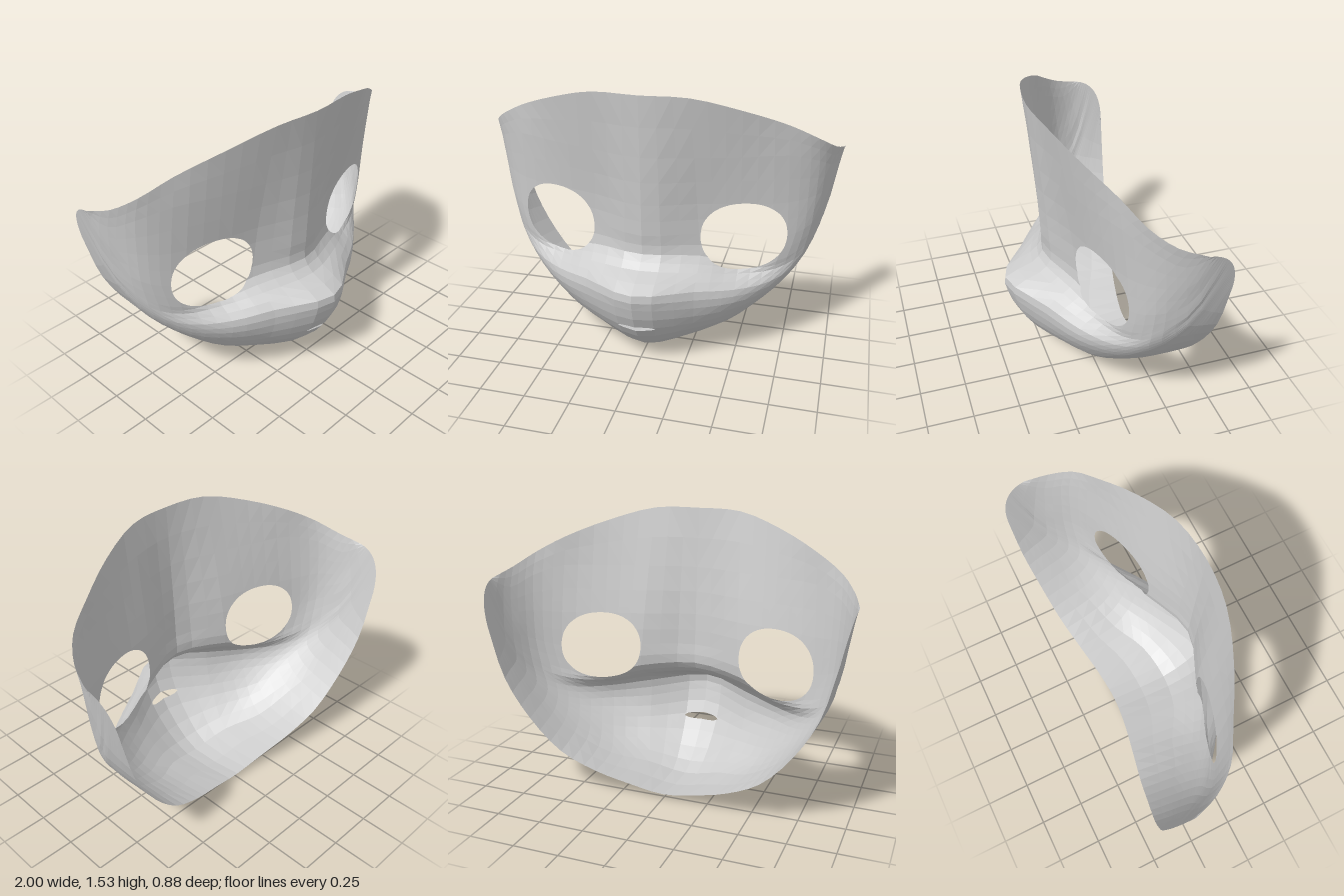
import * as THREE from 'three';

// Sections from the centre line out to one side; points run from top to bottom
const BROW = [
  [[0, 1.53, .28], [0, 1.2, .255], [0, .93, .235], [0, .75, .225], [0, .64, .22]],
  [[.25, 1.525, .25], [.27, 1.2, .19], [.28, .93, .14], [.29, .75, .12], [.3, .62, .12]],
  [[.5, 1.455, .16], [.5, 1.2, .12], [.5, .93, .08], [.5, .73, .06], [.5, .57, .05]],
  [[.72, 1.365, .045], [.73, 1.2, .03], [.74, .93, 0], [.74, .73, -.01], [.7, .58, 0]],
  [[.87, 1.28, -.04], [.88, 1.15, -.07], [.875, .95, -.09], [.865, .78, -.1], [.84, .65, -.1]],
  [[.955, 1.21, -.15], [.955, 1.1, -.19], [.945, .97, -.21], [.93, .86, -.23], [.92, .78, -.24]],
];
const MUZZLE = [
  [[0, .57, .28], [0, .5, .438], [0, .41, .43], [0, .27, .375], [0, .1, .235], [0, .003, .07], [0, .03, -.28]],
  [[.3, .55, .19], [.3, .48, .275], [.3, .38, .275], [.29, .26, .23], [.26, .15, .15], [.22, .06, .03], [.2, .07, -.3]],
  [[.5, .52, .085], [.5, .46, .16], [.5, .38, .16], [.48, .28, .11], [.45, .19, .04], [.41, .13, -.08], [.38, .13, -.335]],
  [[.69, .53, 0], [.68, .47, .03], [.66, .4, .02], [.64, .34, -.02], [.62, .3, -.07], [.6, .26, -.16], [.57, .235, -.375]],
  [[.83, .6, -.1], [.81, .54, -.1], [.79, .49, -.12], [.78, .47, -.15], [.77, .45, -.2], [.76, .44, -.27], [.74, .42, -.405]],
  [[.91, .75, -.245], [.905, .72, -.25], [.9, .7, -.26], [.895, .69, -.28], [.89, .68, -.31], [.885, .67, -.35], [.87, .645, -.43]],
];

// Openings: centre, radii and roundness exponent, measured from the front
const HOLES = [
  { x: .522, y: .735, rx: .224, ry: .196, n: 2.2 },
  { x: -.522, y: .735, rx: .224, ry: .196, n: 2.2 },
  { x: 0, y: .257, rx: .106, ry: .018, n: 2 },
];
const holeValue = (h, p) =>
  (Math.abs((p.x - h.x) / h.rx) ** h.n + Math.abs((p.y - h.y) / h.ry) ** h.n) ** (1 / h.n) - 1;

// Smooth grid of points through the mirrored sections
function surfaceGrid(rowSteps, colSteps) {
  const sections = BROW.map((b, i) => [...b, ...MUZZLE[i]].map(p => new THREE.Vector3(...p)));
  const sideEdge = new THREE.QuadraticBezierCurve3(
    new THREE.Vector3(1, 1.17, -.28), new THREE.Vector3(.995, 1.15, -.44), new THREE.Vector3(.95, .93, -.44));
  sections.push(sideEdge.getPoints(sections[0].length - 1));
  const curves = sections.map(s => new THREE.CatmullRomCurve3(s));
  const rows = (sections[0].length - 1) * rowSteps;
  const cols = (sections.length - 1) * 2 * colSteps;
  const grid = [];
  for (let j = 0; j <= rows; j++) {
    const half = curves.map(c => c.getPoint(j / rows));
    const mirrored = half.slice(1).reverse().map(p => new THREE.Vector3(-p.x, p.y, p.z));
    grid.push(new THREE.CatmullRomCurve3([...mirrored, ...half]).getPoints(cols));
  }
  return grid;
}

// Keep the part of a polygon that lies outside a hole
function cutHole(poly, hole) {
  const out = [];
  poly.forEach((p, i) => {
    const q = poly[(i + 1) % poly.length];
    const a = holeValue(hole, p), b = holeValue(hole, q);
    if (a >= 0) out.push(p);
    if ((a < 0) !== (b < 0)) out.push(p.clone().lerp(q, a / (a - b)));
  });
  return out;
}

function maskGeometry() {
  const positions = [];
  const fan = poly => {
    for (let i = 1; i + 1 < poly.length; i++)
      for (const p of [poly[0], poly[i], poly[i + 1]]) positions.push(p.x, p.y, p.z);
  };
  // Triangles beside an opening are split finely, then trimmed to its outline
  const addTriangle = (a, b, c, hole, depth) => {
    if (!hole) return fan([a, b, c]);
    if (depth === 0) return fan(cutHole([a, b, c], hole));
    const ab = a.clone().lerp(b, .5), bc = b.clone().lerp(c, .5), ca = c.clone().lerp(a, .5);
    for (const t of [[a, ab, ca], [ab, b, bc], [ca, bc, c], [ab, bc, ca]])
      addTriangle(...t, hole, depth - 1);
  };
  const nearHole = tri => HOLES.find(h => {
    const xs = tri.map(p => p.x), ys = tri.map(p => p.y);
    return Math.min(...xs) < h.x + h.rx && Math.max(...xs) > h.x - h.rx &&
      Math.min(...ys) < h.y + h.ry && Math.max(...ys) > h.y - h.ry;
  });
  const grid = surfaceGrid(2, 3);
  for (let j = 0; j + 1 < grid.length; j++)
    for (let i = 0; i + 1 < grid[j].length; i++) {
      const a = grid[j][i], b = grid[j + 1][i], c = grid[j + 1][i + 1], d = grid[j][i + 1];
      // Diagonals mirror about the centre line
      const tris = i < (grid[j].length - 1) / 2 ? [[a, b, c], [a, c, d]] : [[a, b, d], [b, c, d]];
      for (const t of tris) {
        const hole = nearHole(t);
        addTriangle(...t, hole, hole && hole.rx < .2 ? 3 : 2);
      }
    }
  const geometry = new THREE.BufferGeometry();
  geometry.setAttribute('position', new THREE.Float32BufferAttribute(positions, 3));
  geometry.computeVertexNormals();
  return geometry;
}

export function createModel() {
  const group = new THREE.Group();
  group.name = 'mask';
  const material = new THREE.MeshStandardMaterial({ color: 0xcccccc, side: THREE.DoubleSide, flatShading: true });
  material.name = 'light grey';
  const shell = new THREE.Mesh(maskGeometry(), material);
  shell.name = 'maskShell';
  group.add(shell);
  return group;
}
